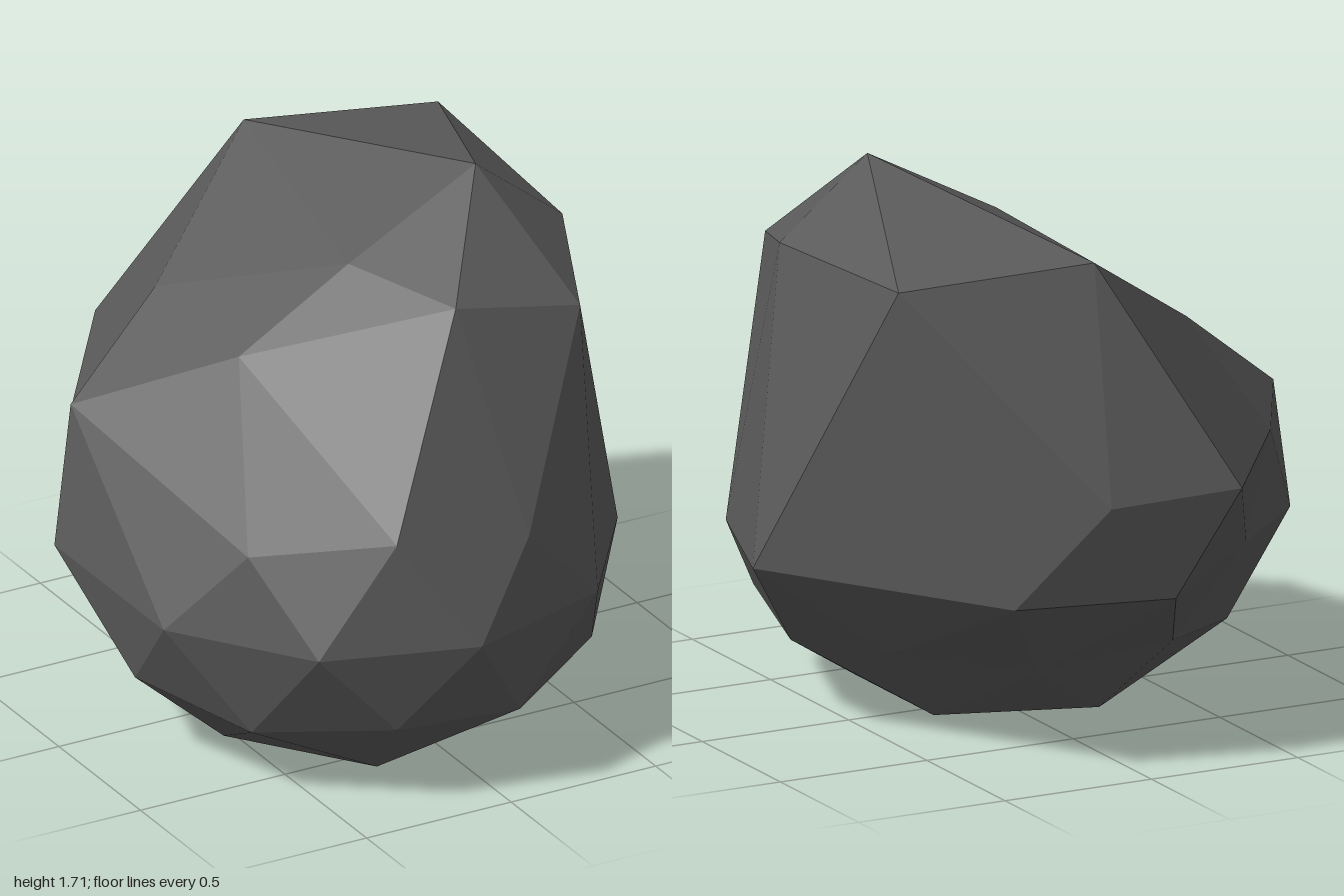
import * as THREE from 'three';

const CX = -0.1, CZ = 0.18; // axis of the boulder's base

// Point on a horizontal ring around the axis, angle in degrees
const around = (deg, r, y) => {
  const a = THREE.MathUtils.degToRad(deg);
  return [CX + r * Math.cos(a), y, CZ + r * Math.sin(a)];
};

export function createModel() {
  const stone = new THREE.MeshStandardMaterial({ color: 0x5a5a5a });
  stone.name = 'dark stone';

  // Regular lower half: flat pentagon base and a ten-point ring above it
  const base = Array.from({ length: 5 }, (_, k) => around(36 + 72 * k, 0.431, 0));
  const lower = Array.from({ length: 10 }, (_, j) =>
    j % 2 ? around(36 * j, 0.738, 0.27) : around(36 * j, 0.702, 0.22));

  // Widest ring, pulled outwards at the back
  const waist = [
    [0.69, 0.43], [0.39, 0.84], [-0.1, 1.0], [-0.58, 0.85], [-0.88, 0.43],
    [-0.88, -0.24], [-0.58, -0.52], [-0.1, -0.97], [0.39, -0.86], [0.87, -0.08],
  ].map(([x, z]) => [x, 0.545, z]);

  // Irregular shoulder and crown, rising towards the +x side
  const shoulder = [
    [0.64, 1.47, 0.18], [0.47, 1.38, 0.59], [0.13, 0.81, 0.88], [-0.31, 0.87, 0.85],
    [-0.69, 0.82, 0.61], [-0.79, 0.97, -0.3], [-0.69, 0.87, -0.47], [-0.31, 0.87, -1.0],
    [0.13, 0.86, -0.99], [0.65, 1.51, -0.6],
  ];
  const crown = [
    [0.34, 1.71, 0.18], [0.04, 1.47, 0.59], [-0.44, 1.22, 0.11],
    [-0.44, 1.24, -0.4], [0.04, 1.55, -0.71],
  ];

  const positions = [];
  const tri = (a, b, c) => positions.push(...a, ...b, ...c);

  // Zigzag band; each upper point sits half a step after its lower point
  const band = (low, up, shift) => {
    for (let j = 0; j < 10; j++) {
      const l0 = low[j], l1 = low[(j + 1) % 10];
      const u0 = up[(j + shift) % 10], u1 = up[(j + shift + 1) % 10];
      tri(l0, u0, l1);
      tri(u0, u1, l1);
    }
  };

  // Cap from a ten-point ring through a pentagon to a centre point
  const cap = (ring, pent, centre, first, flip) => {
    const face = (a, b, c) => (flip ? tri(a, c, b) : tri(a, b, c));
    for (let k = 0; k < 5; k++) {
      const i = 2 * k + first;
      const before = ring[(i + 9) % 10], at = ring[i % 10], after = ring[(i + 1) % 10];
      const p = pent[k], q = pent[(k + 1) % 5];
      face(before, p, at);
      face(at, p, after);
      face(p, q, after);
      face(p, centre, q);
    }
  };

  cap(lower, base, [CX, 0, CZ], 1, true);
  band(lower, waist, 0);
  band(waist, shoulder, 1);
  cap(shoulder, crown, [CX, 1.48, CZ], 0, false);

  // Unshared corners give flat facets
  const geometry = new THREE.BufferGeometry();
  geometry.setAttribute('position', new THREE.Float32BufferAttribute(positions, 3));
  geometry.computeVertexNormals();

  const boulder = new THREE.Mesh(geometry, stone);
  boulder.name = 'boulder';
  const group = new THREE.Group();
  group.name = 'rock';
  group.add(boulder);
  return group;
}
